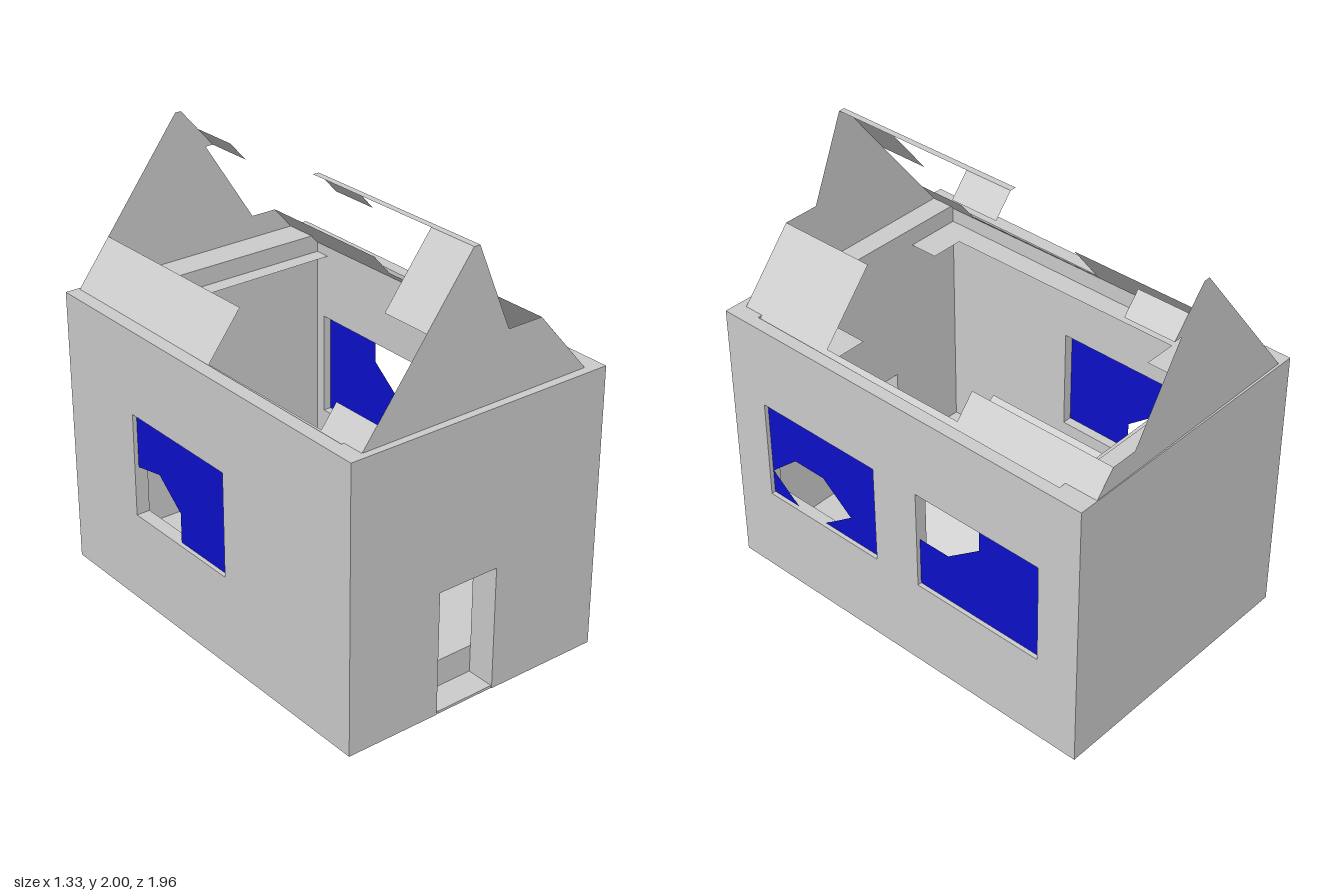
import * as THREE from 'three';

const grey = new THREE.MeshStandardMaterial({ color: 0xcccccc, flatShading: true });
const thin = new THREE.MeshStandardMaterial({ color: 0xcccccc, flatShading: true, side: THREE.DoubleSide });
const glass = new THREE.MeshStandardMaterial({ color: 0x0c10c8, side: THREE.DoubleSide });

const polygon = (pts, Type = THREE.Shape) => new Type(pts.map(p => new THREE.Vector2(...p)));
const rect = (a0, a1, b0, b1) => [[a0, b0], [a1, b0], [a1, b1], [a0, b1]];

function add(parent, name, geometry, material = grey) {
  const mesh = new THREE.Mesh(geometry, material);
  mesh.name = name;
  parent.add(mesh);
  return mesh;
}

function box(parent, name, x0, x1, y0, y1, z0, z1) {
  const mesh = add(parent, name, new THREE.BoxGeometry(x1 - x0, y1 - y0, z1 - z0));
  mesh.position.set((x0 + x1) / 2, (y0 + y1) / 2, (z0 + z1) / 2);
  return mesh;
}

// Shapes drawn as (z, y) are turned to face along x
const alongX = g => g.rotateY(-Math.PI / 2);

// Side wall from x0 to x1 with window openings
function sideWall(parent, name, x0, x1, windows) {
  const shape = polygon(rect(-0.977, 0.977, 0, 1.315));
  for (const [z0, z1] of windows) shape.holes.push(polygon(rect(z0, z1, 0.43, 0.92), THREE.Path));
  const g = alongX(new THREE.ExtrudeGeometry(shape, { depth: x1 - x0, bevelEnabled: false }));
  add(parent, name, g.translate(x1, 0, 0));
}

// Thin remains of the two roof slopes, between two heights
const slopeX = {
  left: y => -0.58 + (y - 1.32) * 0.525 / 0.68,
  right: y => 0.565 - (y - 1.32) * 0.59 / 0.68,
};
function roofPiece(parent, side, y0, y1, z0, z1) {
  const xa = slopeX[side](y0), xb = slopeX[side](y1);
  const g = new THREE.BufferGeometry();
  g.setAttribute('position', new THREE.Float32BufferAttribute(
    [xa, y0, z0, xa, y0, z1, xb, y1, z1, xb, y1, z0], 3));
  g.setIndex(side === 'left' ? [0, 1, 2, 0, 2, 3] : [0, 2, 1, 0, 3, 2]);
  g.computeVertexNormals();
  add(parent, side + 'RoofPiece', g, thin);
}

export function createModel() {
  const house = new THREE.Group();
  house.name = 'ruinedHouse';

  // Outer walls, standing very slightly askew
  const walls = new THREE.Group();
  walls.name = 'walls';
  walls.rotation.y = -0.0077;
  house.add(walls);
  sideWall(walls, 'rightSideWall', 0.597, 0.655, [[0.13, 0.78], [-0.77, -0.11]]);
  sideWall(walls, 'leftSideWall', -0.655, -0.59, [[-0.49, 0.16]]);
  box(walls, 'backWall', -0.59, 0.597, 0, 1.315, -0.977, -0.82);
  const front = polygon([[-0.59, 0], [-0.2, 0], [-0.2, 0.58], [0.1, 0.58], [0.1, 0],
    [0.597, 0], [0.597, 1.315], [-0.59, 1.315]]);
  add(walls, 'frontWall', new THREE.ExtrudeGeometry(front, { depth: 0.137, bevelEnabled: false }))
    .position.z = 0.84;

  // Floor and door sill
  box(house, 'doorSill', -0.2, 0.1, 0, 0.012, 0.83, 0.974);
  box(house, 'floor', -0.6, 0.6, 0.001, 0.14, -0.83, 0.84);

  // Broken panes, drawn as (z, y)
  const panes = [
    ['rightFrontPane', 0.635, [[0.13, 0.43], [0.46, 0.43], [0.3, 0.55], [0.46, 0.68], [0.63, 0.68],
      [0.778, 0.55], [0.63, 0.43], [0.78, 0.43], [0.78, 0.92], [0.13, 0.92]]],
    ['rightBackPane', 0.635, [[-0.77, 0.43], [-0.11, 0.43], [-0.11, 0.67], [-0.27, 0.67],
      [-0.44, 0.8], [-0.44, 0.92], [-0.77, 0.92]]],
    ['leftPane', -0.635, [[-0.49, 0.66], [-0.33, 0.69], [-0.18, 0.57], [-0.18, 0.43],
      [0.16, 0.43], [0.16, 0.92], [-0.49, 0.92]]],
  ];
  for (const [name, x, pts] of panes) {
    add(walls, name, alongX(new THREE.ShapeGeometry(polygon(pts.map(([z, y]) => [z, y])))).rotateY(0), glass)
      .position.x = x;
  }

  // Fallen slab leaning inside
  const slab = polygon([[-0.35, 0.59], [0.295, 0.14], [0.33, 0.21], [-0.315, 0.65]]);
  add(house, 'fallenSlab', new THREE.ExtrudeGeometry(slab, { depth: 0.77, bevelEnabled: false }))
    .position.z = -0.43;

  // Remains of the attic floor around the walls, drawn as (x, -z)
  const attic = polygon([[-0.6, -0.85], [-0.33, -0.85], [-0.33, -0.7], [-0.49, -0.7], [-0.49, 0.5],
    [-0.33, 0.5], [-0.33, 0.74], [0.61, 0.74], [0.61, 0.83], [-0.6, 0.83]]);
  const corner = polygon(rect(0.34, 0.61, -0.85, -0.48));
  add(house, 'atticFloor', new THREE.ShapeGeometry([attic, corner]).rotateX(-Math.PI / 2), thin)
    .position.y = 1.23;

  // Broken gables
  const gableLeft = [[-0.055, 2], [-0.58, 1.32], [-0.58, 1.25]];
  const frontGable = [...gableLeft, [0.565, 1.25], [0.565, 1.32], [0.313, 1.61], [0.14, 1.61], [-0.025, 2]];
  const backGable = [...gableLeft, [0.565, 1.25], [0.565, 1.32], [0.478, 1.42], [0.35, 1.42],
    [0.1, 1.81], [0.14, 1.81], [-0.025, 2]];
  add(house, 'frontGable', new THREE.ShapeGeometry(polygon(frontGable)), thin).position.z = 0.94;
  add(house, 'backGable', new THREE.ShapeGeometry(polygon(backGable)), thin).position.z = -0.97;

  // Roof remains: side, lower y, upper y, back z, front z
  for (const piece of [
    ['left', 1.25, 1.52, -0.97, -0.02],
    ['left', 1.25, 1.315, -0.02, 0.7],
    ['left', 1.25, 1.41, 0.7, 0.94],
    ['left', 1.71, 2, 0.7, 0.94],
    ['right', 1.27, 1.42, -0.97, -0.26],
    ['right', 1.27, 1.32, -0.26, 0.46],
    ['right', 1.27, 1.61, 0.46, 0.94],
    ['right', 1.9, 2, -0.015, 0.22],
    ['right', 1.81, 1.9, -0.97, -0.73],
  ]) roofPiece(house, ...piece);

  // Flat ridge strip running back from the front gable
  const ridge = add(house, 'ridgeStrip', new THREE.PlaneGeometry(0.03, 0.955).rotateX(-Math.PI / 2), thin);
  ridge.position.set(-0.04, 2, 0.4625);

  return house;
}
